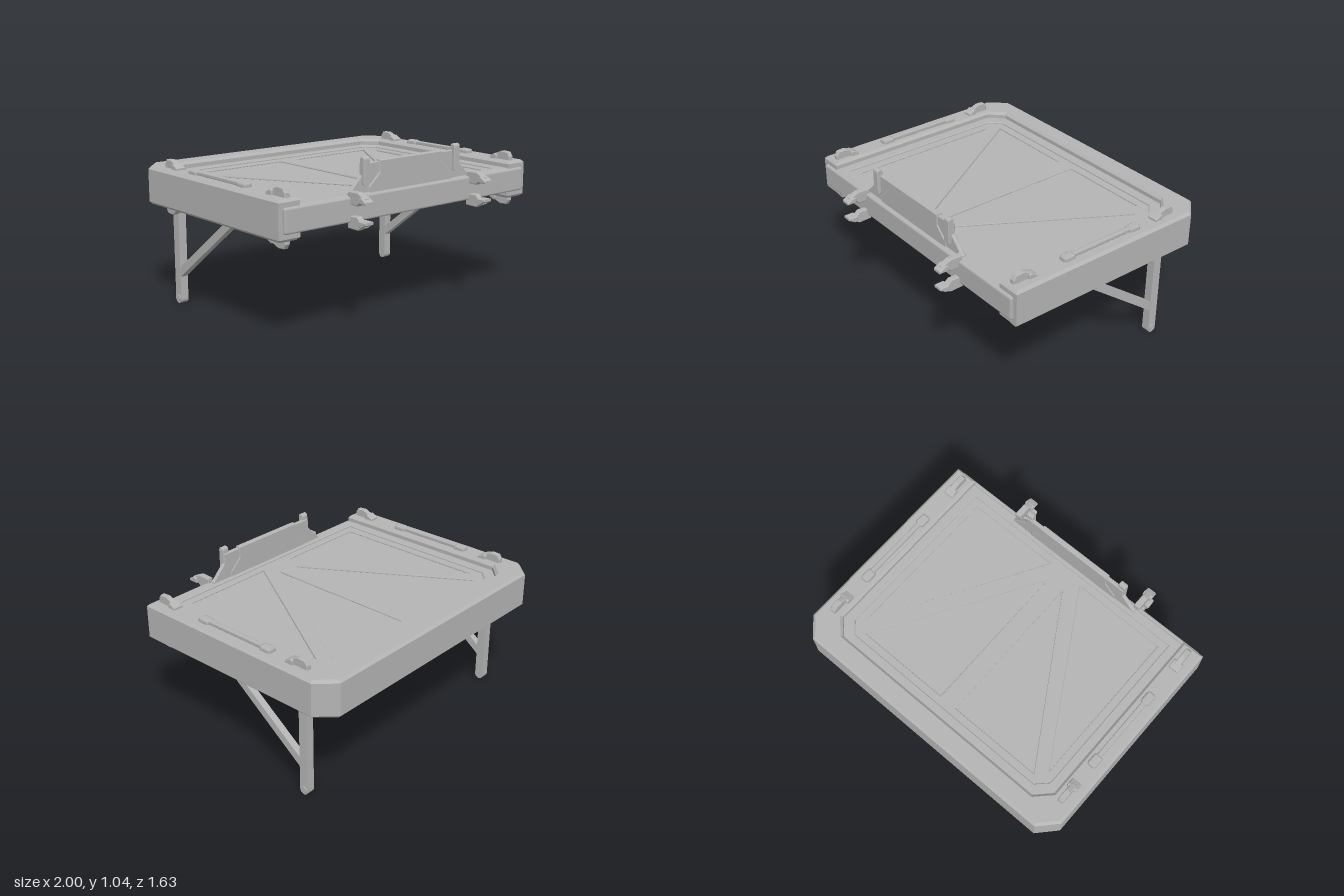
import * as THREE from 'three';
import { RoundedBoxGeometry } from 'three/addons/geometries/RoundedBoxGeometry.js';

const MID = 0.755; // mid height of the table top

export function createModel() {
  const model = new THREE.Group();
  model.name = 'foldingTable';
  const grey = new THREE.MeshStandardMaterial({ color: 0xb4b4b4 });
  grey.name = 'plain grey';

  const add = (name, geometry, parent = model) => {
    const mesh = new THREE.Mesh(geometry, grey);
    mesh.name = name;
    parent.add(mesh);
    return mesh;
  };
  const box = (name, w, h, d, x, y, z, parent, r = 0.008) => {
    const mesh = add(name, new RoundedBoxGeometry(w, h, d, 1, r), parent);
    mesh.position.set(x, y, z);
    return mesh;
  };
  const toShape = (pts) => new THREE.Shape(pts.map(([a, b]) => new THREE.Vector2(a, b)));
  const options = (depth, bevel) => ({
    depth: depth - 2 * bevel, bevelEnabled: bevel > 0, bevelSize: bevel,
    bevelThickness: bevel, bevelOffset: -bevel, bevelSegments: 1, curveSegments: 10,
  });

  // Plan outline (x, z) raised from y0 to y1
  const slab = (pts, y0, y1, bevel = 0, holes = []) => {
    const flip = (list) => list.map(([x, z]) => [x, -z]);
    const shape = toShape(flip(pts));
    holes.forEach((h) => shape.holes.push(toShape(flip(h))));
    return new THREE.ExtrudeGeometry(shape, options(y1 - y0, bevel))
      .translate(0, 0, bevel).rotateX(-Math.PI / 2).translate(0, y0, 0);
  };
  // Side outline (z, y) with a width centred on x
  const side = (shape, width, x, bevel = 0) =>
    new THREE.ExtrudeGeometry(shape, options(width, bevel))
      .translate(0, 0, bevel - width / 2).rotateY(-Math.PI / 2).translate(x, 0, 0);
  // Rectangle in plan with chamfered back corners
  const tray = (hx, back, front, cut) => [
    [-hx, front], [hx, front], [hx, back + cut], [hx - cut, back],
    [-hx + cut, back], [-hx, back + cut],
  ];

  // U-shaped frame, open at the front
  add('frame', slab([
    [0.85, 0.652], [0.998, 0.652], [0.998, -0.7], [0.89, -0.815],
    [-0.89, -0.815], [-0.998, -0.7], [-0.998, 0.652], [-0.85, 0.652],
    [-0.85, -0.59], [-0.76, -0.68], [0.76, -0.68], [0.85, -0.59],
  ], 0.635, 0.875, 0.016));

  // Sunken panel with ribbed faces above and below
  add('panelCore', slab(tray(0.86, -0.69, 0.645, 0.1), 0.698, 0.812));
  const triangles = [];
  for (const s of [-1, 1]) {
    triangles.push([[s * 0.68, -0.57], [s * 0.06, -0.57], [s * 0.06, 0.44]]);
    triangles.push([[s * 0.74, -0.5], [s * 0.74, 0.54], [s * 0.12, 0.54]]);
  }
  for (const top of [true, false]) {
    const level = (a, b) => (top ? [a, b] : [2 * MID - b, 2 * MID - a]);
    add('panelRim', slab(tray(0.855, -0.685, 0.645, 0.095), ...level(0.808, 0.834), 0.005,
      [tray(0.79, -0.62, 0.585, 0.07)]));
    add('panelRibs', slab(tray(0.795, -0.625, 0.59, 0.07), ...level(0.808, 0.823), 0.005, triangles));
  }

  // Front board
  box('frontBoard', 1.94, 0.15, 0.04, 0, MID, 0.652, model, 0.014);

  // Raised hood at the front edge
  const hood = add('hood', new THREE.ExtrudeGeometry(toShape([
    [-0.49, 0.81], [0.49, 0.81], [0.49, 0.84], [0.46, 0.87], [0.39, 0.94], [0.39, 1.005],
    [-0.39, 1.005], [-0.39, 0.94], [-0.46, 0.87], [-0.49, 0.84],
  ]), options(0.026, 0.005)));
  hood.position.z = 0.617;
  const hoodFace = add('hoodFace', new THREE.ExtrudeGeometry(toShape([
    [-0.34, 0.81], [0.34, 0.81], [0.34, 0.865], [0.26, 0.94], [0.26, 1.013],
    [-0.26, 1.013], [-0.26, 0.94], [-0.34, 0.865],
  ]), options(0.036, 0.006)));
  hoodFace.position.z = 0.614;

  // Bent latch outline in (along, up), hook at the far end
  const latchArm = toShape([[0, -0.01], [0, 0.025], [0.018, 0.052], [0.07, 0.055],
    [0.13, 0.03], [0.145, 0.015], [0.11, 0.004], [0.09, -0.01]]);
  const latchHook = toShape([[0.1, -0.005], [0.1, 0.026], [0.115, 0.036], [0.16, 0.012], [0.16, -0.005]]);
  const frontArm = toShape([[0.645, 0.79], [0.645, 0.862], [0.73, 0.865], [0.79, 0.838],
    [0.79, 0.815], [0.755, 0.81], [0.725, 0.785]]);
  const frontHook = toShape([[0.75, 0.804], [0.75, 0.835], [0.77, 0.845], [0.813, 0.82], [0.813, 0.804]]);

  // Mirror a solid across a horizontal or cross plane while keeping faces outward
  const flipped = (geometry, sy, sz) => {
    geometry.scale(1, sy, sz);
    if (sy * sz < 0) {
      const p = geometry.attributes.position;
      const v = [new THREE.Vector3(), new THREE.Vector3()];
      for (let i = 0; i < p.count; i += 3) {
        v[0].fromBufferAttribute(p, i + 1);
        v[1].fromBufferAttribute(p, i + 2);
        p.setXYZ(i + 1, ...v[1].toArray());
        p.setXYZ(i + 2, ...v[0].toArray());
      }
      geometry.computeVertexNormals();
    }
    return geometry;
  };

  for (const s of [-1, 1]) {
    const label = s > 0 ? 'left' : 'right';
    for (const up of [1, -1]) {
      // Latches on the side rails, hooks facing each other
      for (const dir of [1, -1]) {
        const start = dir > 0 ? -0.612 : 0.618;
        for (const [shape, width, part] of [[latchArm, 0.036, 'LatchArm'], [latchHook, 0.066, 'LatchHook']]) {
          add(label + part, flipped(side(shape, width, s * 0.912, 0.005), up, dir)
            .translate(0, MID + up * 0.12, start));
        }
      }
      // Latches on the front board
      for (const [shape, width, part] of [[frontArm, 0.04, 'FrontLatchArm'], [frontHook, 0.064, 'FrontLatchHook']]) {
        add(label + part, flipped(side(shape, width, s * 0.485, 0.005).translate(0, -MID, 0), up, 1)
          .translate(0, MID, 0));
      }
    }

    // Carrying handle on the rail
    const handle = new THREE.Group();
    handle.name = label + 'Handle';
    model.add(handle);
    box('handleBar', 0.032, 0.026, 0.46, s * 0.912, 0.885, -0.035, handle);
    for (const z of [-0.29, 0.215]) box('handleEnd', 0.06, 0.045, 0.085, s * 0.912, 0.88, z, handle, 0.016);

    // Rounded peg at the hood corner
    const ear = new THREE.Shape();
    ear.moveTo(0.618, 0.88);
    ear.lineTo(0.658, 0.88);
    ear.lineTo(0.658, 1.025);
    ear.absarc(0.638, 1.025, 0.02, 0, Math.PI, false);
    add(label + 'HoodPeg', side(ear, 0.05, s * 0.367, 0.005));

    // Leg with rounded foot, pivot bolt and diagonal brace
    const leg = new THREE.Group();
    leg.name = label + 'Leg';
    model.add(leg);
    const post = new THREE.Shape();
    post.moveTo(-0.515, 0.645);
    post.lineTo(-0.575, 0.645);
    post.lineTo(-0.575, 0.03);
    post.absarc(-0.545, 0.03, 0.03, Math.PI, 2 * Math.PI, false);
    add('legPost', side(post, 0.054, s * 0.877), leg);
    add('legBrace', side(toShape([[-0.52, 0.175], [-0.52, 0.24], [0.02, 0.64], [0.1, 0.64]]),
      0.044, s * 0.877), leg);
    const bolt = add('legBolt', new THREE.CylinderGeometry(0.023, 0.023, 0.02, 20), leg);
    bolt.rotation.z = Math.PI / 2;
    bolt.position.set(s * 0.9, 0.035, -0.545);
    box('braceMount', 0.05, 0.04, 0.085, s * 0.877, 0.622, 0.18, leg);
  }
  return model;
}
